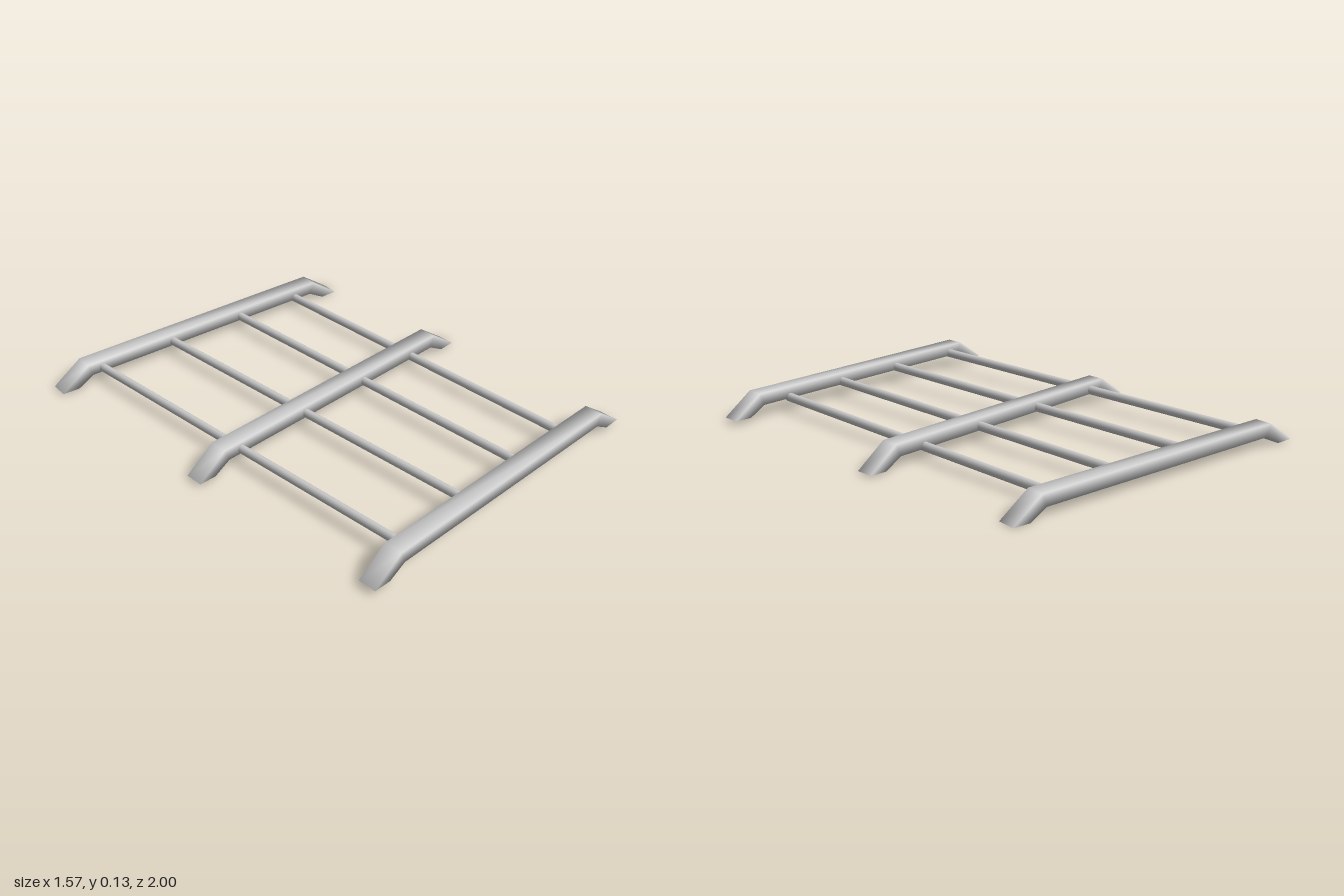
import * as THREE from 'three';

const material = new THREE.MeshStandardMaterial({ color: 0xcccccc });
const HALF_WIDTH = 0.041;

// Square-section crossbar with sloping feet, softly shaded, from foot to foot
function crossbar(name, left, right) {
  const a = new THREE.Vector3(...left), b = new THREE.Vector3(...right);
  const along = b.clone().sub(a);
  const half = along.length() / 2;
  // Each station: bottom x, bottom y, top x, top y
  const stations = [
    [-half + 0.08, 0, -half, 0.002],
    [-half + 0.158, 0.044, -half + 0.137, 0.1],
    [half - 0.158, 0.044, half - 0.137, 0.1],
    [half - 0.08, 0, half, 0.002],
  ];
  const pos = [], index = [];
  for (const [bx, by, tx, ty] of stations) {
    pos.push(bx, by, -HALF_WIDTH, bx, by, HALF_WIDTH, tx, ty, HALF_WIDTH, tx, ty, -HALF_WIDTH);
  }
  for (let k = 0; k < 3; k++) {
    for (let i = 0; i < 4; i++) {
      const p = 4 * k + i, q = 4 * k + (i + 1) % 4;
      index.push(p, p + 4, q, q, p + 4, q + 4);
    }
  }
  // Soles of the two feet
  index.push(0, 1, 2, 0, 2, 3, 12, 14, 13, 12, 15, 14);
  const geo = new THREE.BufferGeometry();
  geo.setAttribute('position', new THREE.Float32BufferAttribute(pos, 3));
  geo.setIndex(index);
  geo.computeVertexNormals();
  const mesh = new THREE.Mesh(geo, material);
  mesh.name = name;
  mesh.position.copy(a).add(b).multiplyScalar(0.5);
  mesh.quaternion.setFromUnitVectors(new THREE.Vector3(1, 0, 0), along.normalize());
  return mesh;
}

// Slim rod between two points, slightly taller than wide
function rod(name, from, to) {
  const a = new THREE.Vector3(...from), b = new THREE.Vector3(...to);
  const geo = new THREE.CylinderGeometry(1, 1, a.distanceTo(b), 16);
  geo.rotateX(Math.PI / 2).scale(0.017, 0.021, 1);
  const mesh = new THREE.Mesh(geo, material);
  mesh.name = name;
  mesh.position.copy(a).add(b).multiplyScalar(0.5);
  mesh.lookAt(a);
  return mesh;
}

export function createModel() {
  const model = new THREE.Group();
  model.name = 'roofRack';

  // Three crossbars, the rear one slanting
  model.add(crossbar('frontCrossbar', [-0.765, 0.027, 0.924], [0.767, 0.02, 0.955]));
  model.add(crossbar('middleCrossbar', [-0.785, 0.013, -0.013], [0.78, 0.006, 0.022]));
  model.add(crossbar('rearCrossbar', [-0.772, 0.004, -0.96], [0.76, 0, -0.735]));

  // Four long rods: front x, rear x, front y, rear y
  const rods = [
    [-0.55, -0.57, 0.084, 0.067],
    [-0.183, -0.2, 0.084, 0.067],
    [0.158, 0.18, 0.081, 0.064],
    [0.465, 0.508, 0.069, 0.052],
  ];
  rods.forEach(([fx, rx, fy, ry], i) => {
    model.add(rod('rod' + (i + 1), [fx, fy, 0.925], [rx, ry, -0.847 + 0.147 * rx]));
  });
  return model;
}
